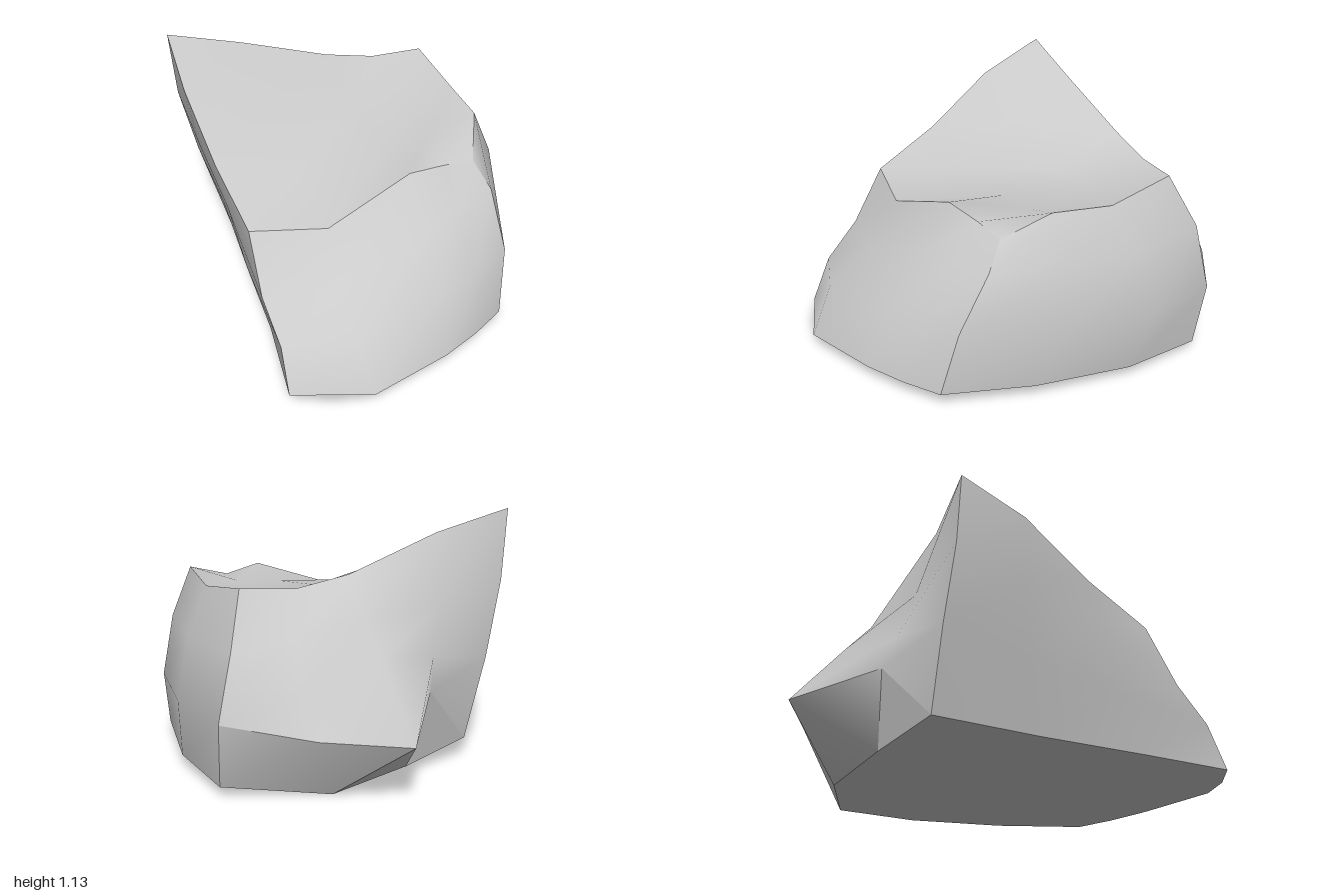
import * as THREE from 'three';

const material = new THREE.MeshStandardMaterial({ color: 0xcccccc });

// Smooth-shaded face made from points and triangle indices
function face(name, points, index) {
  const geo = new THREE.BufferGeometry();
  geo.setAttribute('position', new THREE.Float32BufferAttribute(points.flat(), 3));
  geo.setIndex(index);
  geo.computeVertexNormals();
  const mesh = new THREE.Mesh(geo, material);
  mesh.name = name;
  return mesh;
}

// Grid of cross-sections: rows run top to bottom, columns left to right seen from outside
function patch(name, rows) {
  const n = rows[0].length, index = [];
  for (let r = 0; r < rows.length - 1; r++) {
    for (let c = 0; c < n - 1; c++) {
      const a = r * n + c, d = a + n;
      index.push(a, d, a + 1, a + 1, d, d + 1);
    }
  }
  return face(name, rows.flat(), index);
}

export function createModel() {
  const rock = new THREE.Group();
  rock.name = 'rock';

  // Shared upright edges, top to bottom
  const frontLeft = [[-0.52, 0.65, 0.51], [-0.495, 0.4, 0.66], [-0.445, 0.25, 0.82], [-0.43, 0.05, 0.91]];
  const frontRight = [[0.535, 0.725, 0.3], [0.605, 0.61, 0.38], [0.64, 0.37, 0.53], [0.61, 0.07, 0.61]];
  const backRight = [[0.5, 0.86, -0.52], [0.565, 0.62, -0.64], [0.63, 0.33, -0.68], [0.62, 0.04, -0.63]];
  const backLeft = [[-0.745, 1.13, -0.42], [-0.72, 0.81, -0.43], [-0.645, 0.46, -0.46], [-0.545, 0.09, -0.475]];

  // Shared rims between those edges
  const topFront = [[-0.18, 0.63, 0.535], [0.21, 0.775, 0.41], [0.38, 0.745, 0.34]];
  const topBack = [[-0.4, 1.04, -0.44], [0.02, 0.89, -0.505], [0.26, 0.845, -0.52]];
  const topRight = [[0.6, 0.84, 0.09], [0.58, 0.81, -0.2]];
  const topLeft = [[-0.705, 1.0, -0.12], [-0.615, 0.79, 0.2]];
  const baseFront = [[-0.07, 0.07, 1.0], [0.29, 0.075, 0.84], [0.46, 0.072, 0.73]];
  const baseRight = [[0.7, 0.065, 0.2], [0.715, 0.055, -0.25]];
  const baseLeft = [[-0.48, 0.08, 0.03], [-0.445, 0.07, 0.5]];

  // Points of the overhanging back spur
  const tip = [-0.11, 0.27, -1.0], spurRim = [0.26, 0.29, -0.88];
  const notch = [-0.31, 0.38, -0.64], notchBase = [-0.21, 0.04, -0.62], spurBase = [0.16, 0, -0.74];

  rock.add(patch('frontFace', [
    [frontLeft[0], ...topFront, frontRight[0]],
    [frontLeft[1], [-0.16, 0.43, 0.7], [0.25, 0.56, 0.56], [0.43, 0.59, 0.47], frontRight[1]],
    [frontLeft[2], [-0.13, 0.28, 0.89], [0.28, 0.34, 0.74], [0.47, 0.36, 0.64], frontRight[2]],
    [frontLeft[3], ...baseFront, frontRight[3]],
  ]));

  rock.add(patch('leftFace', [
    [frontRight[0], ...topRight, backRight[0]],
    [frontRight[1], [0.69, 0.62, 0.08], [0.68, 0.61, -0.28], backRight[1]],
    [frontRight[2], [0.743, 0.35, 0.06], [0.743, 0.34, -0.35], backRight[2]],
    [frontRight[3], ...baseRight, backRight[3]],
  ]));

  rock.add(patch('rightFace', [
    [backLeft[0], ...topLeft, frontLeft[0]],
    [backLeft[1], [-0.66, 0.72, -0.1], [-0.58, 0.6, 0.25], frontLeft[1]],
    [backLeft[2], [-0.57, 0.4, -0.05], [-0.52, 0.32, 0.35], frontLeft[2]],
    [backLeft[3], ...baseLeft, frontLeft[3]],
  ]));

  rock.add(patch('backFace', [
    [backRight[0], ...[...topBack].reverse(), backLeft[0]],
    [backRight[1], [0.3, 0.67, -0.66], [0, 0.73, -0.64], [-0.38, 0.72, -0.52], backLeft[1]],
    [[0.598, 0.475, -0.66], [0.3, 0.47, -0.79], [-0.04, 0.58, -0.76], [-0.34, 0.52, -0.59], backLeft[2]],
    [backRight[2], spurRim, tip, notch, backLeft[3]],
  ]));

  // Sloping top with a shallow hollow toward the front
  rock.add(patch('topFace', [
    [backLeft[0], ...topBack, backRight[0]],
    [topLeft[0], [-0.32, 0.87, -0.12], [0.08, 0.78, -0.18], [0.32, 0.78, -0.2], topRight[1]],
    [topLeft[1], [-0.24, 0.71, 0.2], [0.17, 0.74, 0.13], [0.38, 0.76, 0.1], topRight[0]],
    [frontLeft[0], ...topFront, frontRight[0]],
  ]));

  // Broken undersides of the spur
  rock.add(face('backFoot', [notch, notchBase, backLeft[3]], [0, 1, 2]));
  rock.add(face('spurNotch', [tip, spurBase, notchBase, notch], [0, 1, 2, 0, 2, 3]));
  rock.add(face('spurUnderside', [backRight[2], spurRim, tip, backRight[3], spurBase], [0, 3, 1, 1, 3, 4, 1, 4, 2]));

  // Base closed by a fan around its centre
  const rim = [frontLeft[3], [-0.25, 0.06, 0.98], ...baseFront, frontRight[3], ...baseRight, backRight[3],
    spurBase, notchBase, backLeft[3], ...baseLeft];
  const fan = rim.flatMap((_, i) => [0, 1 + ((i + 1) % rim.length), 1 + i]);
  rock.add(face('base', [[0.08, 0.055, 0.1], ...rim], fan));

  return rock;
}
